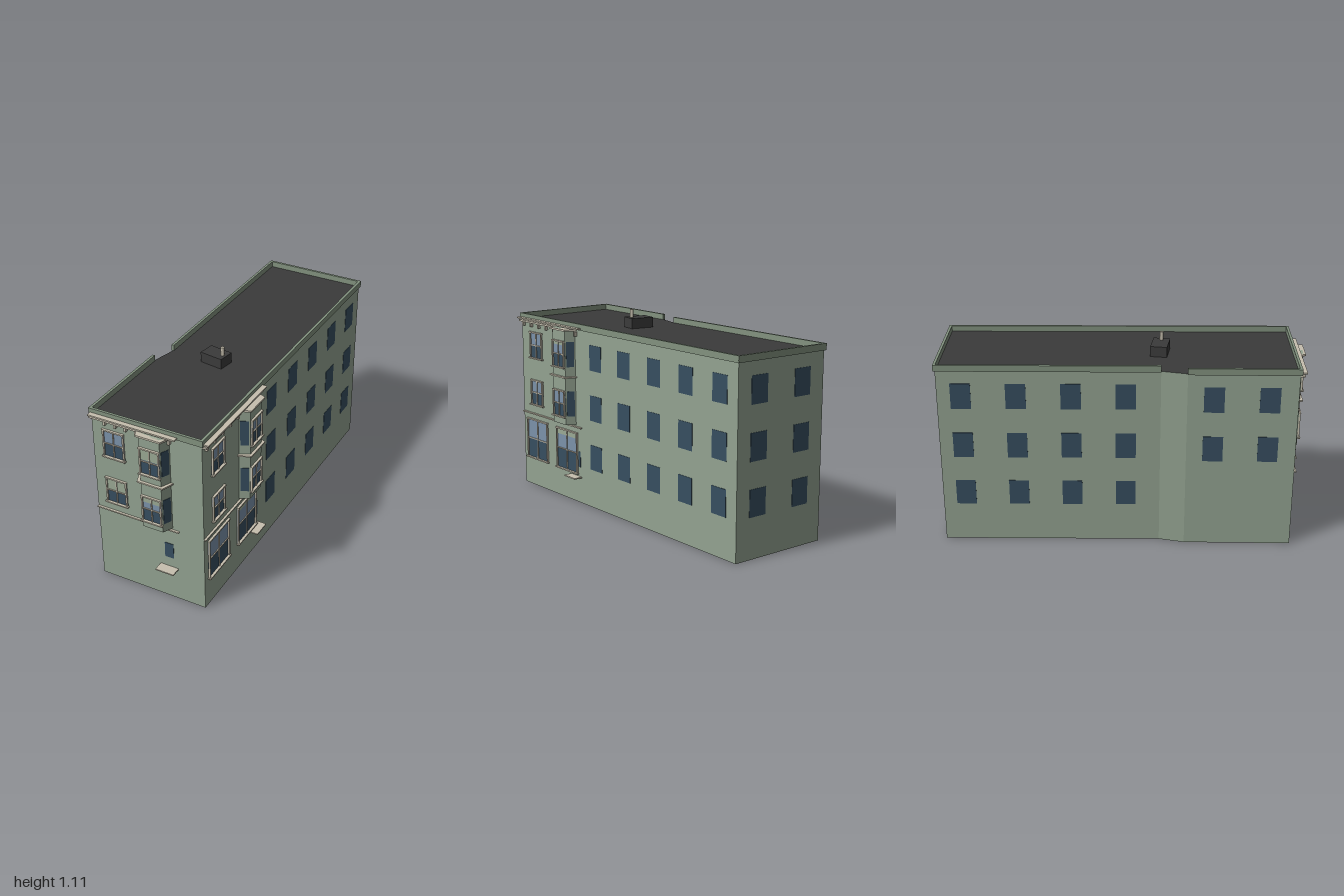
import * as THREE from 'three';

const mat = (name, color) => {
  const m = new THREE.MeshStandardMaterial({ color });
  m.name = name;
  return m;
};

export function createModel() {
  const green = mat('wall green', 0x93a391);
  const edgeGreen = mat('parapet green', 0x82927f);
  const dark = mat('dark glass', 0x374e60);
  const light = mat('light glass', 0x7b92aa);
  const cream = mat('cream trim', 0xc6bfae);
  const blindMat = mat('window blind', 0x9aa994);
  const roofMat = mat('roof charcoal', 0x3b3b3b);

  const model = new THREE.Group();
  model.name = 'building';

  // Box given by its ranges on each axis
  const box = (parent, name, m, x0, x1, y0, y1, z0, z1) => {
    const mesh = new THREE.Mesh(new THREE.BoxGeometry(x1 - x0, y1 - y0, z1 - z0), m);
    mesh.position.set((x0 + x1) / 2, (y0 + y1) / 2, (z0 + z1) / 2);
    mesh.name = name;
    parent.add(mesh);
    return mesh;
  };

  // Upright prism over a plan of [x, z] points
  const prism = (parent, name, mats, pts, y0, y1) => {
    const shape = new THREE.Shape(pts.map(([x, z]) => new THREE.Vector2(x, -z)));
    const geo = new THREE.ExtrudeGeometry(shape, { depth: y1 - y0, bevelEnabled: false });
    geo.rotateX(-Math.PI / 2);
    geo.translate(0, y0, 0);
    const mesh = new THREE.Mesh(geo, mats);
    mesh.name = name;
    parent.add(mesh);
    return mesh;
  };

  // Frame on a wall: x runs along it, z points outward
  const wall = (parent, name, p0, p1) => {
    const g = new THREE.Group();
    const dx = p1[0] - p0[0], dz = p1[1] - p0[1];
    g.position.set(p0[0], 0, p0[1]);
    g.rotation.y = Math.atan2(-dz, dx);
    g.name = name;
    g.userData.length = Math.hypot(dx, dz);
    parent.add(g);
    return g;
  };

  // Main block with roof and underside
  const plan = [
    [-0.197, 0.962], [0.413, 0.866], [0.12, -0.989],
    [-0.447, -0.908], [-0.268, 0.25], [-0.28, 0.39],
  ];
  prism(model, 'mainBlock', [roofMat, green], plan, 0, 1.003);

  const names = ['frontWall', 'rightWall', 'backWall', 'leftRearWall', 'leftJog', 'leftFrontWall'];
  const walls = plan.map((p, i) => wall(model, names[i], p, plan[(i + 1) % plan.length]));
  const [front, right, back, leftRear, , leftFront] = walls;

  // Parapet, open at the jog
  walls.forEach((g, i) => {
    if (i === 4) return;
    const L = g.userData.length;
    box(g, 'parapet', edgeGreen, i === 5 ? 0 : -0.009, L + (i === 3 ? 0 : 0.009), 1.0, 1.035, -0.005, 0.009);
  });

  // Plain windows
  const rows = [[0.219, 0.362], [0.502, 0.646], [0.786, 0.929]];
  const plain = (g, u, y0, y1, w = 0.107) =>
    box(g, 'plainWindow', dark, u - w / 2, u + w / 2, y0, y1, -0.002, 0.002);
  for (const [y0, y1] of rows) {
    for (let i = 0; i < 5; i++) plain(right, 0.732 + i * 0.2543, y0, y1);
    for (const u of [0.138, 0.427]) plain(back, u, y0, y1);
    for (let i = 0; i < 4; i++) plain(leftRear, 0.125 + i * 0.288, y0, y1);
    if (y0 > 0.4) for (const u of [0.14, 0.43]) plain(leftFront, u, y0, y1);
  }

  // Framed sash window; blind is the fraction of the upper sash covered
  const sash = (parent, u, y0, y1, w, blind = 0, z = 0) => {
    const g = new THREE.Group();
    g.name = 'sashWindow';
    g.position.set(u, 0, z);
    parent.add(g);
    const h = w / 2, t = 0.008, mid = (y0 + y1) / 2;
    box(g, 'lowerGlass', dark, -h, h, y0, mid, -0.002, 0.002);
    box(g, 'upperGlass', light, -h, h, mid, y1, -0.002, 0.002);
    if (blind) box(g, 'blind', blindMat, -h, h, y1 - (y1 - mid) * blind, y1, -0.001, 0.003);
    for (const s of [-1, 1]) {
      box(g, 'jamb', cream, s * (h - t / 2) - t / 2, s * (h - t / 2) + t / 2, y0, y1, 0, 0.01);
    }
    box(g, 'mullion', cream, -0.003, 0.003, y0, y1, 0, 0.007);
    box(g, 'meetingRail', cream, -h, h, mid - 0.003, mid + 0.003, 0, 0.007);
    box(g, 'head', cream, -h - 0.002, h + 0.002, y1 - 0.006, y1 + 0.002, 0, 0.012);
    box(g, 'sill', cream, -h - 0.006, h + 0.006, y0 - 0.003, y0 + 0.004, 0, 0.016);
  };

  // Canted bay over two floors
  const bay = (g, u0, u1, blinds) => {
    const a = 0.025, d = 0.052;
    const trap = (o) => [[u0 - o, 0], [u0 + a - o, d + o], [u1 - a + o, d + o], [u1 + o, 0]];
    prism(g, 'bay', green, trap(0), 0.4526, 1.0);
    prism(g, 'bayBand', cream, trap(0.014), 0.724, 0.732);
    prism(g, 'bayCornice', cream, trap(0.012), 0.99, 1.0);
    const p = trap(0);
    const cants = [wall(g, 'bayCant', p[0], p[1]), wall(g, 'bayCant', p[2], p[3])];
    rows.slice(1).forEach(([y0, y1], i) => {
      sash(g, (u0 + u1) / 2, y0 - 0.006, y1 + 0.002, 0.113, blinds[i], d);
      for (const c of cants) plain(c, c.userData.length / 2, y0, y1, 0.044);
    });
  };

  // Belt course, cornice and brackets
  const trim = (g, len, lower, bracketList) => {
    box(g, 'beltCourse', cream, 0, len - 0.01, 0.438, 0.445, 0, 0.012);
    box(g, 'corniceTop', cream, 0, len, 1.005, 1.013, 0, 0.035);
    box(g, 'corniceLower', cream, 0, lower, 0.988, 0.998, 0, 0.024);
    for (const u of bracketList) box(g, 'bracket', cream, u - 0.006, u + 0.006, 0.962, 0.988, 0, 0.016);
  };

  // Front facade
  trim(front, 0.488, 0.285, [0.08, 0.14, 0.2, 0.26, 0.443]);
  sash(front, 0.121, 0.774, 0.931, 0.122);
  sash(front, 0.121, 0.496, 0.645, 0.122, 1);
  bay(front, 0.275, 0.44, [0.5, 0.9]);
  plain(front, 0.415, 0.257, 0.347, 0.051);
  box(front, 'frontLedge', cream, 0.36, 0.465, 0.192, 0.199, 0, 0.055);

  // Right facade
  trim(right, 0.608, 0.36, [0.03, 0.108, 0.186, 0.264, 0.342, 0.555]);
  sash(right, 0.149, 0.778, 0.933, 0.122);
  sash(right, 0.149, 0.498, 0.647, 0.122);
  sash(right, 0.146, 0.168, 0.406, 0.214);
  sash(right, 0.451, 0.168, 0.406, 0.208, 0.3);
  bay(right, 0.369, 0.541, [0, 0.3]);
  plain(right, 0.57, 0.21, 0.3, 0.02);
  box(right, 'sideLedge', cream, 0.487, 0.588, 0.147, 0.154, 0, 0.05);

  // Roof hatch and vent pipe
  box(model, 'roofHatch', roofMat, -0.077, 0.056, 1.0, 1.06, 0.164, 0.254);
  const pipe = new THREE.Mesh(new THREE.CylinderGeometry(0.01, 0.01, 0.05, 12), cream);
  pipe.position.set(0.033, 1.081, 0.21);
  pipe.name = 'ventPipe';
  model.add(pipe);

  return model;
}
